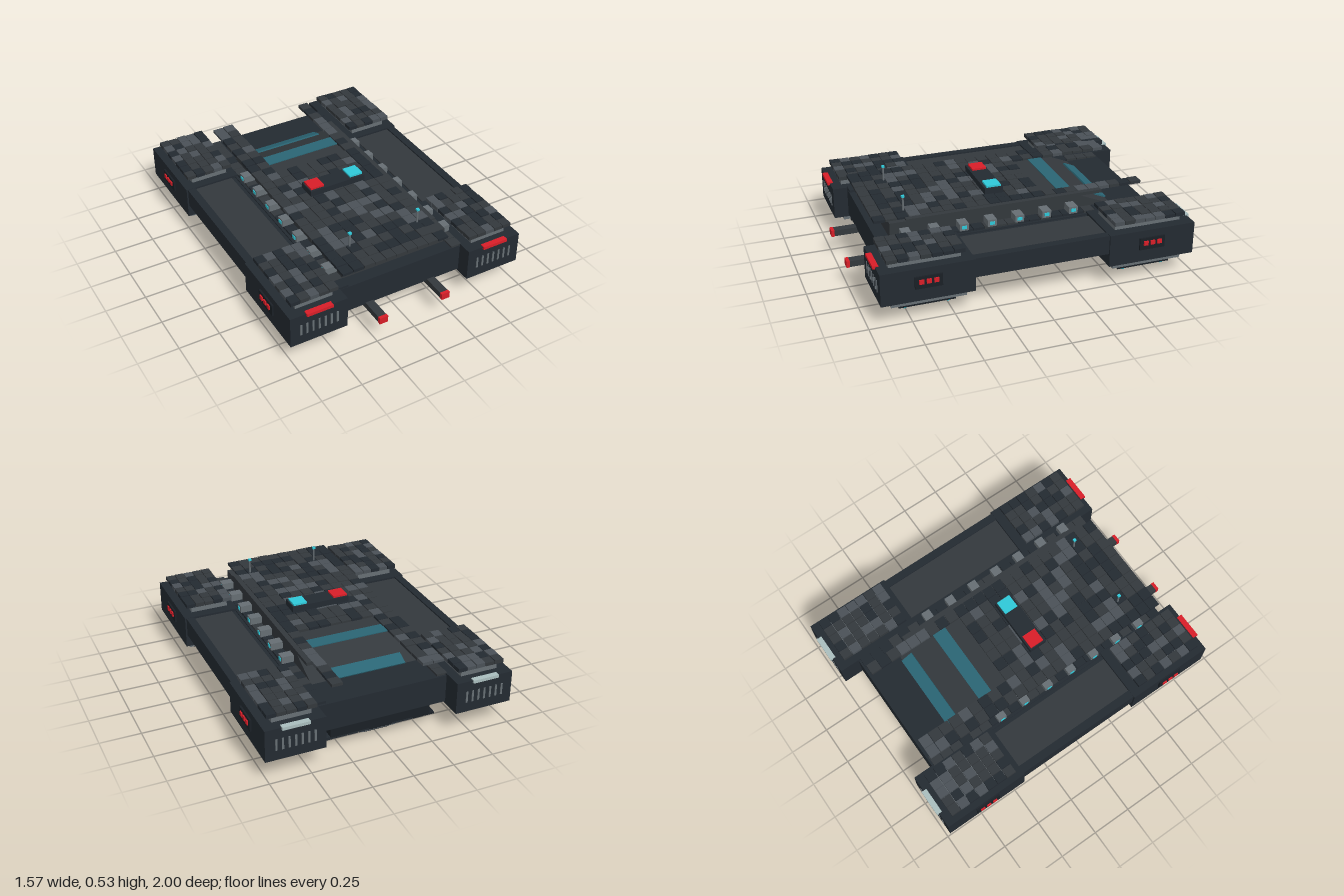
import * as THREE from 'three';
import { mergeGeometries } from 'three/addons/utils/BufferGeometryUtils.js';

const mat = (color) => new THREE.MeshStandardMaterial({ color });
const M = {
  hull: mat(0x232a31), dark: mat(0x1a2026), grey: mat(0x33383c), mid: mat(0x4a5157),
  light: mat(0x666e73), pale: mat(0xa9bdbd), red: mat(0xd81e28), cyan: mat(0x2fc8d8),
  glass: mat(0x2a6574), magenta: mat(0x5a2340),
};

export function createModel() {
  const root = new THREE.Group();

  // Box given by its minimum and maximum on each axis
  const boxGeo = (x0, x1, y0, y1, z0, z1) =>
    new THREE.BoxGeometry(Math.abs(x1 - x0), y1 - y0, Math.abs(z1 - z0))
      .translate((x0 + x1) / 2, (y0 + y1) / 2, (z0 + z1) / 2);
  const add = (name, geo, material, parent = root) => {
    const mesh = new THREE.Mesh(geo, material);
    mesh.name = name;
    parent.add(mesh);
    return mesh;
  };
  const box = (name, material, x0, x1, y0, y1, z0, z1, parent = root) =>
    add(name, boxGeo(x0, x1, y0, y1, z0, z1), material, parent);

  let seed = 7;
  const rand = () => (seed = (seed * 16807) % 2147483647) / 2147483647;

  // Grid of armour tiles with varied shade and thickness; keep(x, z) can leave holes
  const tiles = (name, x0, x1, nx, z0, z1, nz, y0, y1, shades, keep = () => true, parent = root) => {
    const sets = shades.map(() => []);
    const dx = (x1 - x0) / nx, dz = (z1 - z0) / nz, g = 0.002;
    for (let i = 0; i < nx; i++) for (let j = 0; j < nz; j++) {
      const x = x0 + i * dx, z = z0 + j * dz;
      if (!keep(x + dx / 2, z + dz / 2)) continue;
      const k = Math.floor(rand() * shades.length), drop = rand() * 0.005;
      sets[k].push(boxGeo(x + g, x + dx - g, y0, y1 - drop, z + g, z + dz - g));
    }
    sets.forEach((s, k) => s.length && add(name, mergeGeometries(s), shades[k], parent));
  };

  // Main hull and keel
  box('mainHull', M.hull, -0.43, 0.43, 0.15, 0.325, -0.86, 0.84);
  box('keel', M.dark, -0.315, 0.315, 0.08, 0.15, -0.84, 0.36);
  tiles('bellyTile', -0.35, 0.35, 10, -0.84, 0.53, 19, 0.067, 0.084, [M.dark, M.hull, M.dark]);

  // Upper hull, sloping down at the rear
  const profile = new THREE.Shape([
    [-0.76, 0.32], [0.65, 0.32], [0.41, 0.42], [-0.76, 0.42],
  ].map(([z, y]) => new THREE.Vector2(z, y)));
  const upper = new THREE.ExtrudeGeometry(profile, { depth: 0.69, bevelEnabled: false });
  upper.rotateY(Math.PI / 2).translate(-0.345, 0, 0);
  add('upperHull', upper, M.grey);

  // Deck windows: one flat, one lying on the rear slope
  box('deckWindow', M.glass, -0.25, 0.25, 0.41, 0.425, -0.41, -0.32);
  const rearWindow = add('rearWindow', new THREE.BoxGeometry(0.5, 0.012, 0.08), M.glass);
  rearWindow.position.set(0, 0.342, -0.607);
  rearWindow.rotation.x = -Math.atan2(0.1, 0.24);

  // Deck armour, side ledges and the long strip
  const deckShades = [M.hull, M.hull, M.grey, M.grey, M.mid];
  tiles('deckTile', -0.39, 0.315, 10, -0.85, 0.845, 24, 0.417, 0.437, deckShades,
    (x, z) => !(Math.abs(x) < 0.25 && z < -0.22));
  box('deckStrip', M.grey, 0.28, 0.345, 0.41, 0.43, -0.57, 0.66);
  for (const s of [-1, 1])
    tiles('ledgeTile', s * 0.38 - 0.035, s * 0.38 + 0.035, 1, -0.85, 0.84, 24, 0.322, 0.34, [M.hull, M.grey]);

  // Command block with two lights
  box('commandBlock', M.hull, -0.19, 0.185, 0.43, 0.472, 0.01, 0.125);
  box('redDeckLight', M.red, -0.182, -0.092, 0.47, 0.484, 0.02, 0.11);
  box('cyanDeckLight', M.cyan, 0.088, 0.176, 0.47, 0.484, 0.02, 0.11);

  // Square stacked thruster: pad, dark step, cyan glow ring, pale core
  const thruster = (x, z, y, w, d, h, teeth, parent) => {
    const layer = (name, m, k, a, b) =>
      box(name, m, x - w * k, x + w * k, y - b * h, y - a * h, z - d * k, z + d * k, parent);
    layer('thrusterPad', M.light, 1, 0, 0.4);
    layer('thrusterStep', M.dark, 0.76, 0.4, 0.76);
    if (teeth) {
      layer('thrusterGlow', M.cyan, 0.55, 0.76, 0.9);
      for (let i = -3; i <= 3; i++) for (const e of [-1, 1])
        box('glowTooth', M.cyan, x + i * 0.03 - 0.008, x + i * 0.03 + 0.008, y - 0.9 * h, y - 0.74 * h,
          z + e * d * 0.58 - 0.008, z + e * d * 0.58 + 0.008, parent);
    }
    layer('thrusterCore', M.pale, teeth ? 0.4 : 0.5, 0.76, 1);
  };
  thruster(0, -0.69, 0.07, 0.107, 0.12, 0.07, false, root);

  for (const s of [-1, 1]) {
    const sx = (name, m, a, b, y0, y1, z0, z1, parent) => box(name, m, s * a, s * b, y0, y1, z0, z1, parent);

    // Side sponson with a long top panel and outer rail
    sx('sponson', M.hull, 0.41, 0.755, 0.215, 0.318, -0.46, 0.40);
    sx('sponsonPanel', M.grey, 0.455, 0.705, 0.315, 0.324, -0.44, 0.378);
    sx('sponsonRail', M.hull, 0.705, 0.755, 0.315, 0.333, -0.45, 0.39);

    // Corner pods
    for (const f of [1, -1]) {
      const pod = new THREE.Group();
      pod.name = 'cornerPod';
      root.add(pod);
      const [zi, zo] = f > 0 ? [0.38, 0.93] : [-0.44, -0.985];
      const zc = f > 0 ? 0.655 : -0.708, x = s * 0.585;
      sx('podBody', M.hull, 0.405, 0.765, 0.135, 0.335, zi, zo, pod);
      sx('podSlab', M.light, 0.465, 0.7, 0.335, 0.377, zc - 0.21, zc + 0.21, pod);
      tiles('podTile', x - 0.15, x + 0.15, 5, zc - 0.228, zc + 0.228, 7, 0.374, 0.4,
        [M.hull, M.grey, M.grey, M.mid], undefined, pod);
      thruster(x, zc - f * 0.01, 0.135, 0.147, 0.22, 0.09, true, pod);

      // Vent slats and light bar on the end face
      for (let i = -3; i <= 3; i++)
        box('ventSlat', M.light, x + i * 0.038 - 0.006, x + i * 0.038 + 0.006, 0.198, 0.27, zo - f * 0.01, zo + f * 0.004, pod);
      box('lightBar', f > 0 ? M.red : M.pale, x - 0.082, x + 0.082, 0.323, 0.342, zo - f * 0.02, zo + f * 0.014, pod);

      // Outer side panel with three red lamps
      sx('sidePanel', M.dark, 0.76, 0.776, 0.215, 0.29, zc - 0.08, zc + 0.08, pod);
      for (const i of [-1, 0, 1])
        sx('sideLamp', M.red, 0.77, 0.784, 0.245, 0.272, zc + i * 0.043 - 0.014, zc + i * 0.043 + 0.014, pod);
    }

    // Window boxes along the deck edge
    for (let i = 0; i < 7; i++) {
      const z = -0.355 + i * 0.172;
      sx('windowBox', M.light, 0.34, 0.42, 0.338, 0.382, z - 0.028, z + 0.028);
      sx('windowPane', M.cyan, 0.41, 0.424, 0.35, 0.37, z - 0.015, z + 0.015);
    }

    // Keel ribs
    for (let i = 0; i < 7; i++) {
      const z = 0.335 - i * 0.114;
      sx('keelRib', M.light, 0.3, 0.358, 0.088, 0.135, z - 0.017, z + 0.017);
      sx('ribGlow', M.magenta, 0.3, 0.352, 0.074, 0.088, z - 0.015, z + 0.015);
    }

    // Forward guns
    sx('gunBarrel', M.grey, 0.183, 0.235, 0.122, 0.16, 0.7, 0.985);
    sx('gunTip', M.red, 0.182, 0.236, 0.12, 0.162, 0.98, 1.0);

    // Antennas
    const mast = add('antennaMast', new THREE.CylinderGeometry(0.006, 0.006, 0.1, 8), M.light);
    mast.position.set(s * 0.228, 0.475, 0.645);
    box('antennaTip', M.cyan, s * 0.228 - 0.009, s * 0.228 + 0.009, 0.518, 0.53, 0.636, 0.654);
  }
  return root;
}
